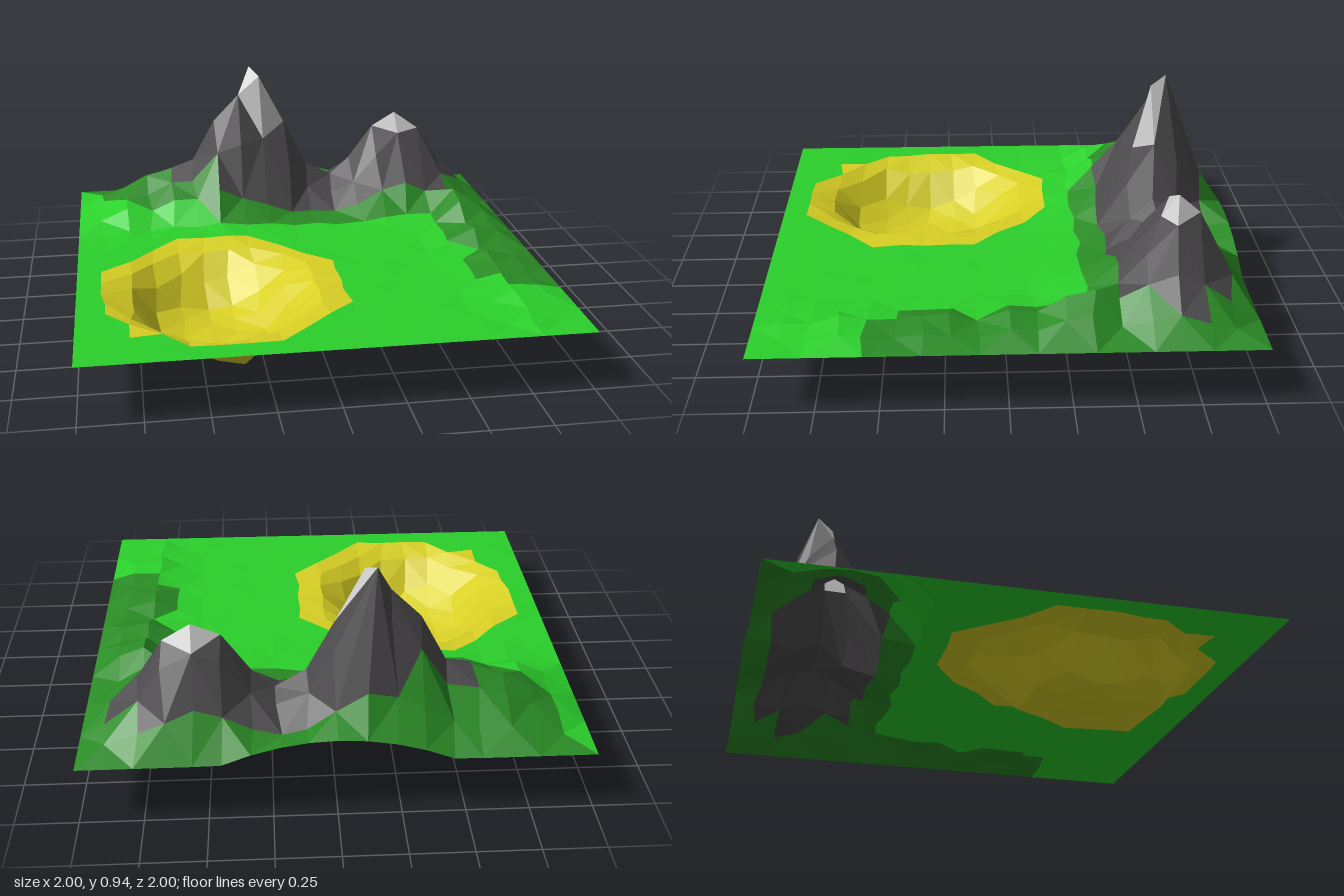
import * as THREE from 'three';

const N = 18, STEP = 2 / N, BASE = 0.245;

// mountain ridge line and front foot line, heights above the plain from x = -1 to 1
const RIDGE = [0, .05, .11, .17, .2, .235, .435, .565, .655, .425, .205, .14, .215, .385, .445, .365, .195, .075, 0];
const FOOT = [0, .02, .08, .06, .12, .12, .17, .11, .08, .04, .03, .02, .05, .11, .145, .105, .1, .04, 0];
// low hills along the right-hand edge, from z = -0.33 forward
const HILLS = [.13, .115, .045, .065, .015, .035, .025, .015, .025, .03, .005];
// crater depth against distance from its middle
const BOWL = [[0, .225], [.2, .205], [.24, .185], [.29, .13], [.35, .045], [.43, 0], [9, 0]];

// outlines of the ground zones, as [x, z]
const ROCK = [[-.56, -.55], [-.56, -.78], [-.33, -.8], [-.22, -.86], [-.11, -.89], [.79, -.89], [.82, -.78],
  [.89, -.78], [.89, -.67], [.78, -.45], [0, -.43], [-.33, -.46], [-.44, -.55]];
const HILLSIDE = [[-1, -1], [-.89, -.85], [-.89, -.66], [-.67, -.45], [-.55, -.45], [-.33, -.37], [-.11, -.33],
  [.67, -.33], [.67, 0], [.72, .1], [.67, .3], [.78, .55], [1.1, .55], [1.1, -1.1]];

// hand-placed peaks and the deepest crater point, keyed by grid column and row
const FIXED = {
  '8,2': [-.16, .935, -.73], '8,3': [-.12, .9, -.66], '8,4': [-.11, .61, -.59], '7,3': [-.22, .81, -.67],
  '9,3': [0, .67, -.67], '14,3': [.555, .69, -.69], '14,4': [.56, .6, -.62], '13,3': [.44, .63, -.67],
  '15,3': [.67, .61, -.67], '14,2': [.55, .61, -.78], '6,14': [-.33, 0, .58],
};

function noise(i, j, k) {
  const s = Math.sin(i * 127.1 + j * 311.7 + k * 74.7) * 43758.5453;
  return (s - Math.floor(s)) * 2 - 1;
}

function inside([x, z], poly) {
  let hit = false;
  poly.forEach(([ax, az], n) => {
    const [bx, bz] = poly[(n + 1) % poly.length];
    if ((az > z) !== (bz > z) && x < ax + (bx - ax) * (z - az) / (bz - az)) hit = !hit;
  });
  return hit;
}

function bowlDepth(x, z) {
  const r = Math.hypot(x + .43, (z - .36) / 1.2);
  const n = BOWL.findIndex(p => p[0] > r);
  const [a, b] = [BOWL[n - 1], BOWL[n]];
  return THREE.MathUtils.mapLinear(r, a[0], b[0], a[1], b[1]);
}

function mountainHeight(i, j, x) {
  if (j === 0) return .1 * Math.max(0, 1 - (x / .45) ** 2);
  const mix = [0, .36, .8, 1][j];
  if (j <= 3) return RIDGE[i] * mix;
  if (j === 4) return (RIDGE[i] + FOOT[i]) / 2;
  return FOOT[i] * ([1, .22, .1][j - 5] ?? 0);
}

const gridPos = n => -1 + n * STEP;

function vertexAt(i, j) {
  if (FIXED[`${i},${j}`]) return FIXED[`${i},${j}`];
  const x = gridPos(i), z = gridPos(j);
  const border = i === 0 || j === 0 || i === N || j === N;
  const depth = bowlDepth(x, z);
  let h = mountainHeight(i, j, x) - depth;
  if (j >= 6 && i >= 15 && i < N) {
    h = Math.max(h, (HILLS[j - 6] ?? 0) * [.2, 1, .65][i - 15]);
  }
  if (border) return [x, BASE + h, z];
  const rough = depth > 0 || j < 6 || i > 14 ? .012 : .003;
  h += (noise(i, j, 3) + (depth > 0 ? 0 : .8)) * rough * .7;
  return [x + noise(i, j, 1) * .014, BASE + h, z + noise(i, j, 2) * .014];
}

// which ground a triangle belongs to, from its grid centre
function zoneAt(c) {
  const [x, z] = c;
  const diamond = cx => Math.abs(x - cx) + Math.abs(z + .667) < .115;
  if (diamond(-.111) || diamond(.556)) return 'snowCaps';
  if (inside(c, ROCK)) return 'mountainRock';
  if (inside(c, HILLSIDE)) return 'darkHillside';
  if (Math.hypot((x + .39) / .51, (z - .335) / .56) < 1) return 'sandCrater';
  return 'grassPlain';
}

export function createModel() {
  const group = new THREE.Group();
  group.name = 'terrain';
  const colors = {
    grassPlain: 0x2bd02b, darkHillside: 0x2a8c25, sandCrater: 0xd8d024, mountainRock: 0x4c4a4c, snowCaps: 0xcccccc,
  };
  const zones = Object.fromEntries(Object.keys(colors).map(k => [k, []]));

  // split every grid cell into two triangles and sort them by zone
  for (let i = 0; i < N; i++) for (let j = 0; j < N; j++) {
    const a = [i, j], b = [i, j + 1], c = [i + 1, j + 1], d = [i + 1, j];
    const x = gridPos(i + .5), z = gridPos(j + .5);
    // around the crater the diagonals follow the rim
    const nearCrater = Math.hypot(x + .39, z - .335) < .68;
    const alongAC = nearCrater ? (x + .39) * (z - .335) < 0 : (i + j) % 2 === 0;
    const tris = alongAC ? [[a, b, c], [a, c, d]] : [[a, b, d], [b, c, d]];
    for (const t of tris) {
      const centre = [0, 1].map(k => gridPos((t[0][k] + t[1][k] + t[2][k]) / 3));
      t.forEach(v => zones[zoneAt(centre)].push(...vertexAt(...v)));
    }
  }

  // one faceted sheet per zone
  for (const [name, points] of Object.entries(zones)) {
    const geometry = new THREE.BufferGeometry();
    geometry.setAttribute('position', new THREE.Float32BufferAttribute(points, 3));
    geometry.computeVertexNormals();
    const mesh = new THREE.Mesh(geometry, new THREE.MeshStandardMaterial({
      color: colors[name], flatShading: true, side: THREE.DoubleSide,
    }));
    mesh.name = name;
    group.add(mesh);
  }
  return group;
}
